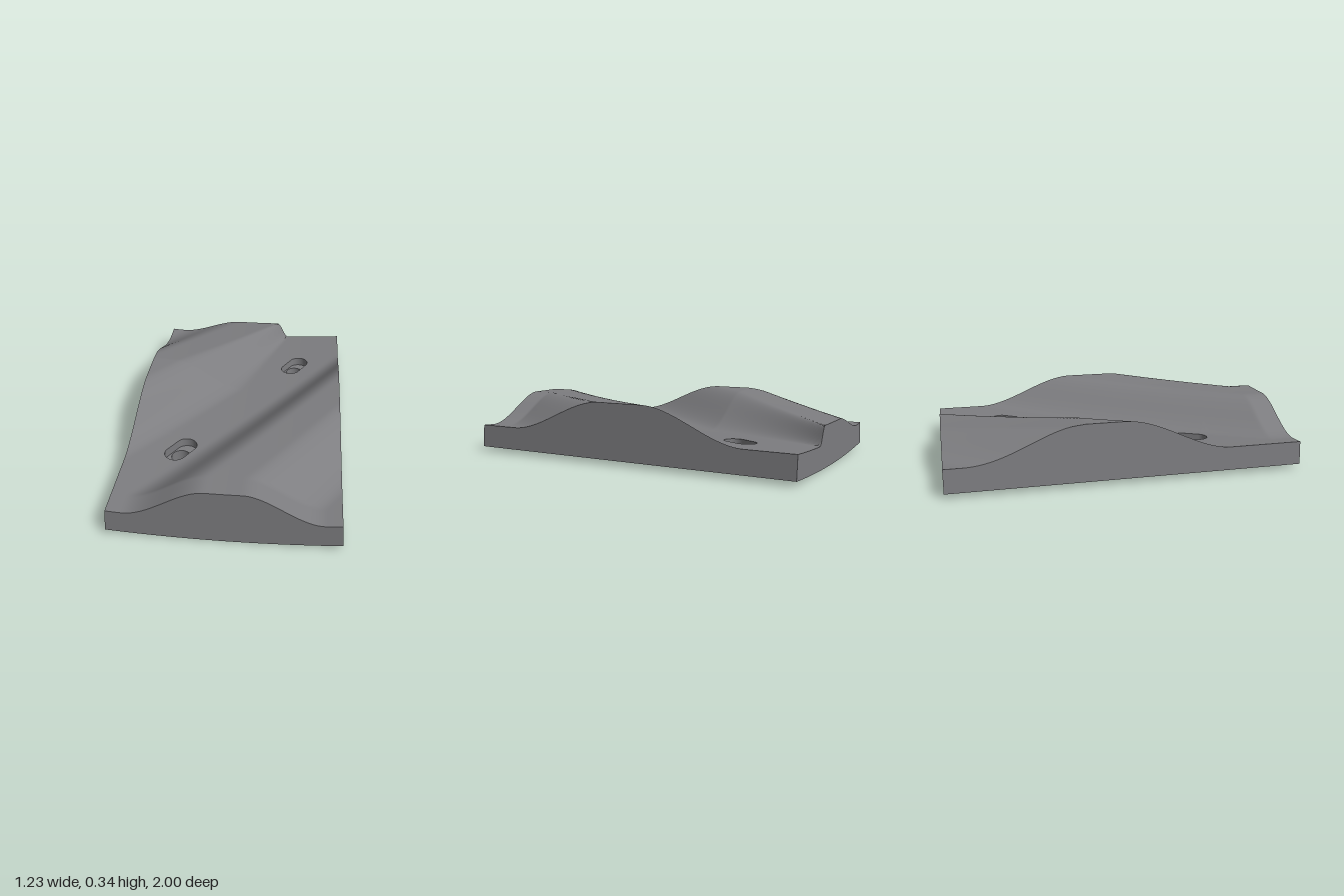
import * as THREE from 'three';
import { toCreasedNormals } from 'three/addons/utils/BufferGeometryUtils.js';

const { clamp, lerp, smoothstep } = THREE.MathUtils;
const HALF_X = 0.6, HALF_Z = 1, FINE = 0.0125, COARSE = 0.025;

// Two slotted bolt holes and the square patch of grid that surrounds each
const HOLES = [
  { x: 0.305, z: -0.575, patch: [0.15, -0.725, 0.45, -0.425] },
  { x: -0.305, z: 0.43, patch: [-0.45, 0.275, -0.15, 0.575] },
];
const SLOT_DIR = [0.5, -0.866], SLOT_HALF = 0.05, SLOT_R = 0.06, HOLE_R = 0.053, FLOOR_Y = 0.09;

// Underside: a shallow arc across the width
const bottomY = (x) => 0.004 + 0.024 * (x / HALF_X) ** 2;

// A smooth ridge: rises a..b, flat b..c, falls c..d
const ridge = (u, a, b, c, d) => smoothstep(u, a, b) * (1 - smoothstep(u, c, d));

// Upper side: two diagonal ridges; the rear one sinks and steepens toward the back
function topY(x, z) {
  const u = x + 0.7 * Math.min(z, 0.87);
  const t = clamp((-z - 0.25) / 0.75, 0, 1);
  const main = 0.185 * ridge(u, 0.09, 0.52, 0.71, 1.13);
  const rear = (0.185 - 0.08 * t) *
    ridge(u, -1.23, -0.81, lerp(-0.62, -0.53, t), lerp(-0.19, -0.46, t));
  return 0.135 + main + rear + 0.024 * (x / HALF_X) ** 2;
}

// Collects quads, then leans the side walls inward and creases the normals
class Surface {
  constructor() { this.data = []; }
  quad(a, b, c, d, flip) {
    const order = flip ? [a, c, b, a, d, c] : [a, b, c, a, c, d];
    for (const p of order) this.data.push(...p);
  }
  // Bands between closed rings, ordered from outside to inside
  loft(rings, flip = false) {
    for (let r = 0; r < rings.length - 1; r++) {
      const o = rings[r], n = rings[r + 1];
      for (let i = 0; i < o.length; i++) {
        const j = (i + 1) % o.length;
        this.quad(o[i], n[i], n[j], o[j], flip);
      }
    }
  }
  // Rectangular sheet with the hole patches left open
  sheet(step, yAt, flip = false) {
    const nx = Math.round(2 * HALF_X / step), nz = Math.round(2 * HALF_Z / step);
    const point = (i, j) => {
      const x = -HALF_X + i * step, z = -HALF_Z + j * step;
      return [x, yAt(x, z), z];
    };
    for (let i = 0; i < nx; i++) for (let j = 0; j < nz; j++) {
      const x = -HALF_X + (i + 0.5) * step, z = -HALF_Z + (j + 0.5) * step;
      const open = HOLES.some(({ patch: p }) => x > p[0] && x < p[2] && z > p[1] && z < p[3]);
      if (!open) this.quad(point(i, j), point(i, j + 1), point(i + 1, j + 1), point(i + 1, j), flip);
    }
  }
  geometry() {
    const g = new THREE.BufferGeometry();
    g.setAttribute('position', new THREE.Float32BufferAttribute(this.data, 3));
    const p = g.attributes.position;
    for (let i = 0; i < p.count; i++) {
      p.setX(i, p.getX(i) / HALF_X * (0.617 - 0.086 * (p.getY(i) - 0.03)));
    }
    // Enlarged while creasing so that nearby vertices stay distinct
    g.scale(100, 100, 100);
    return toCreasedNormals(g, 0.55).scale(0.01, 0.01, 0.01);
  }
}

// Points [x, z] around a rectangle
function rectLoop([x0, z0, x1, z1], step) {
  const corners = [[x1, z0], [x1, z1], [x0, z1], [x0, z0]], out = [];
  corners.forEach(([ax, az], k) => {
    const [bx, bz] = corners[(k + 1) % 4];
    const n = Math.round((Math.abs(bx - ax) + Math.abs(bz - az)) / step);
    for (let i = 0; i < n; i++) out.push([lerp(ax, bx, i / n), lerp(az, bz, i / n)]);
  });
  return out;
}

// Matches each loop point to a point on a slot (or a circle when half is 0)
const slotLoop = (loop, hole, radius, half) => loop.map(([x, z]) => {
  const len = Math.hypot(x - hole.x, z - hole.z);
  const dx = (x - hole.x) / len, dz = (z - hole.z) / len;
  const s = Math.sign(dx * SLOT_DIR[0] + dz * SLOT_DIR[1]) * half;
  return [hole.x + s * SLOT_DIR[0] + radius * dx, hole.z + s * SLOT_DIR[1] + radius * dz];
});

const lift = (loop, yAt) => loop.map(([x, z]) => [x, yAt(x, z), z]);

// Rings blending from one loop to another over a surface
function blend(outer, inner, count, yAt) {
  return Array.from({ length: count + 1 }, (_, k) => lift(outer.map(([x, z], i) =>
    [lerp(x, inner[i][0], k / count), lerp(z, inner[i][1], k / count)]), yAt));
}

function bodyGeometry() {
  const s = new Surface();
  s.sheet(FINE, topY);
  s.sheet(COARSE, bottomY, true);

  // Outer walls
  const rim = rectLoop([-HALF_X, -HALF_Z, HALF_X, HALF_Z], FINE);
  s.loft([lift(rim, bottomY), lift(rim, topY)]);

  // Slots with a floor and a round hole through to the underside
  for (const hole of HOLES) {
    const fine = rectLoop(hole.patch, FINE);
    const slot = slotLoop(fine, hole, SLOT_R, SLOT_HALF);
    const round = slotLoop(fine, hole, HOLE_R, 0);
    const floor = () => FLOOR_Y;
    s.loft([...blend(fine, slot, 6, topY), lift(slot, floor), lift(round, floor), lift(round, bottomY)]);
    const coarse = rectLoop(hole.patch, COARSE);
    s.loft(blend(coarse, slotLoop(coarse, hole, HOLE_R, 0), 3, bottomY), true);
  }
  return s.geometry();
}

// Thin raised pad following the underside, with rounded corners
function padGeometry(corners, radius = 0.035) {
  const pts = corners.map(([x, z]) => new THREE.Vector2(x, z));
  const shape = new THREE.Shape();
  pts.forEach((p, i) => {
    const toward = (q) => p.clone().add(q.clone().sub(p).setLength(radius));
    const a = toward(pts[(i + 3) % 4]), b = toward(pts[(i + 1) % 4]);
    if (i === 0) shape.moveTo(a.x, a.y); else shape.lineTo(a.x, a.y);
    shape.quadraticCurveTo(p.x, p.y, b.x, b.y);
  });
  shape.closePath();
  const loop = shape.getSpacedPoints(120).slice(0, -1);
  const mid = loop.reduce((m, p) => m.add(p), new THREE.Vector2()).divideScalar(loop.length);
  const ring = (k, drop) => lift(loop.map((p) => [lerp(mid.x, p.x, k), lerp(mid.y, p.y, k)]),
    (x) => bottomY(x) - drop);
  const s = new Surface();
  s.loft([ring(1, 0), ring(0.985, 0.003), ring(0.96, 0.004),
    ...[0.8, 0.6, 0.4, 0.2, 0].map((k) => ring(k, 0.004))], true);
  return s.geometry();
}

export function createModel() {
  const grey = new THREE.MeshStandardMaterial({ color: 0x7d7d80 });
  grey.name = 'grey';
  const group = new THREE.Group();
  group.name = 'ridgedPlate';
  const add = (name, geometry) => {
    const mesh = new THREE.Mesh(geometry, grey);
    mesh.name = name;
    group.add(mesh);
  };
  add('plateBody', bodyGeometry());
  // Corner order runs from +x toward +z
  add('leftPad', padGeometry([[0.48, -0.46], [0.48, 0.83], [-0.38, 0.83], [0.39, -0.46]]));
  add('rightPad', padGeometry([[-0.48, 0.27], [-0.48, -0.87], [0.32, -0.87], [-0.39, 0.27]]));
  return group;
}
